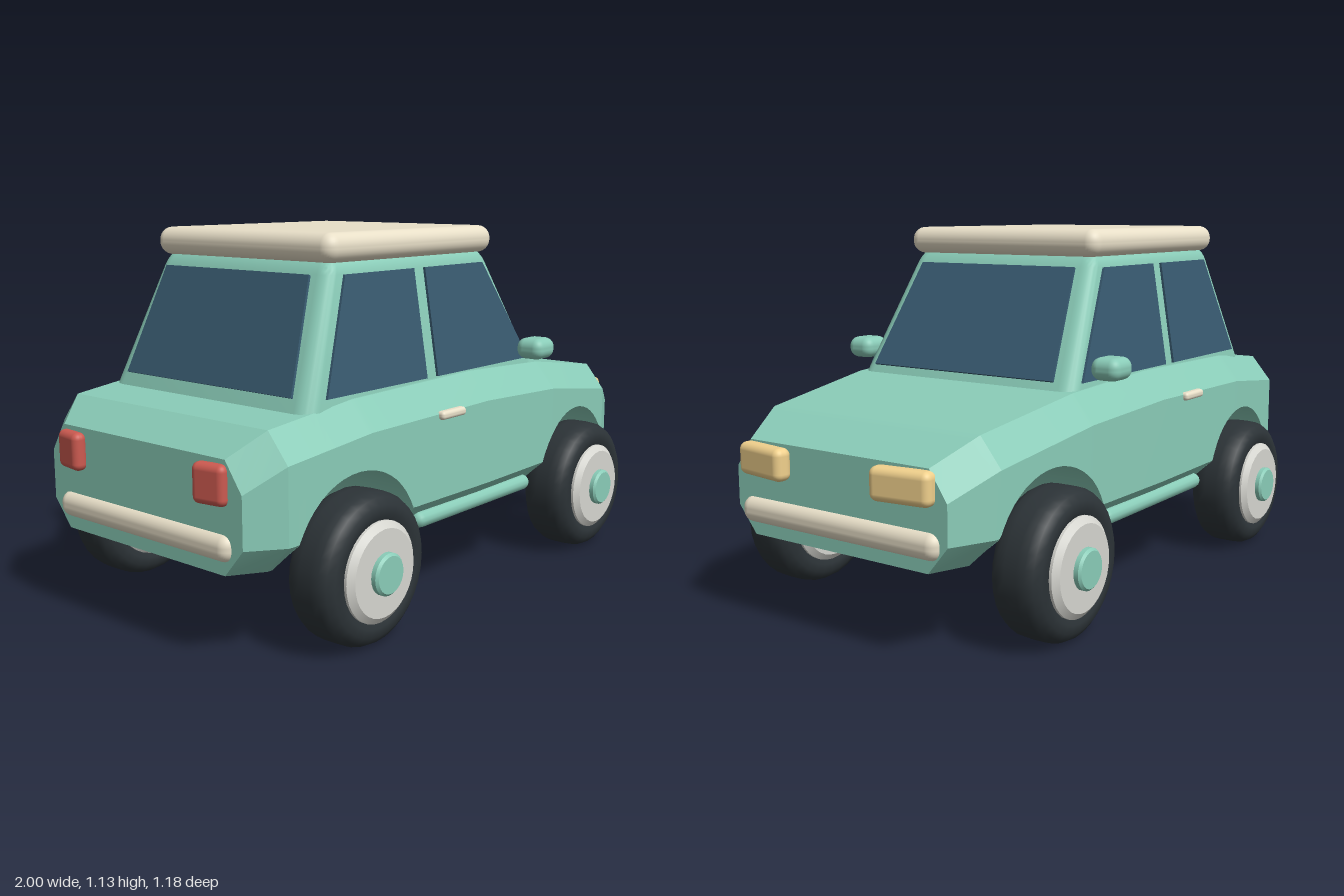
import * as THREE from 'three';
import { toCreasedNormals } from 'three/addons/utils/BufferGeometryUtils.js';
import { RoundedBoxGeometry } from 'three/addons/geometries/RoundedBoxGeometry.js';
import { ConvexGeometry } from 'three/addons/geometries/ConvexGeometry.js';

const paint = (color) => new THREE.MeshStandardMaterial({ color });
const teal = paint(0x8accb8), cream = paint(0xe8dfc8), glass = paint(0x385a70);
const rubber = paint(0x2c3337), rimGrey = paint(0xd6d6d0), amber = paint(0xf0d08c), red = paint(0xcc5a50);

const AXLES = [-0.6, 0.575];
const FLOOR = 0.255, ARCH_Y = 0.235, ARCH_R = 0.252;

// Piecewise linear lookup in a list of [x, value]
function lookup(table, x) {
  let i = 0;
  while (i < table.length - 2 && x > table[i + 1][0]) i++;
  const [[x0, v0], [x1, v1]] = [table[i], table[i + 1]];
  return THREE.MathUtils.lerp(v0, v1, (x - x0) / (x1 - x0));
}

const deckLine = [[-0.965, 0.567], [-0.87, 0.636], [-0.55, 0.672], [0.0, 0.682], [0.4, 0.663], [0.8, 0.604], [0.943, 0.535]];
const halfWidth = [[-0.965, 0.4], [-0.87, 0.472], [-0.55, 0.485], [0.0, 0.493], [0.4, 0.485], [0.8, 0.455], [0.943, 0.39]];

// Lower body: eight-point sections along x, floor raised over the axles
function bodyGeometry() {
  const xs = deckLine.map((p) => p[0]).filter((x) => AXLES.every((a) => Math.abs(x - a) > 0.04));
  const reach = Math.sqrt(ARCH_R ** 2 - (FLOOR - ARCH_Y) ** 2);
  for (const a of AXLES) {
    for (let i = 0; i <= 24; i++) xs.push(a - reach * Math.cos((i / 24) * Math.PI));
  }
  xs.sort((a, b) => a - b);

  const pos = [], index = [];
  for (const x of xs) {
    let floor = FLOOR;
    for (const a of AXLES) {
      const d = ARCH_R ** 2 - (x - a) ** 2;
      if (d > 0) floor = Math.max(floor, ARCH_Y + Math.sqrt(d));
    }
    const top = lookup(deckLine, x), w = lookup(halfWidth, x);
    const tuck = 0.83 + 0.17 * Math.min(1, (floor - FLOOR) / 0.08);
    const side = [[w * tuck, floor], [w, Math.max(0.335, floor + 0.003)], [w, top - 0.085], [w * 0.85, top]];
    for (const [z, y] of side) pos.push(x, y, z);
    for (const [z, y] of side.reverse()) pos.push(x, y, -z);
  }
  for (let s = 0; s < xs.length - 1; s++) {
    for (let i = 0; i < 8; i++) {
      const a = s * 8 + i, b = s * 8 + ((i + 1) % 8);
      index.push(a, a + 8, b + 8, a, b + 8, b);
    }
  }
  const last = (xs.length - 1) * 8;
  for (let k = 1; k < 7; k++) index.push(0, k, k + 1, last, last + k + 1, last + k);

  const geo = new THREE.BufferGeometry();
  geo.setAttribute('position', new THREE.Float32BufferAttribute(pos, 3));
  geo.setIndex(index);
  return toCreasedNormals(geo, 0.35);
}

// Cabin: rounded box tapered towards the roof
function cabinGeometry() {
  const geo = new RoundedBoxGeometry(1.13, 0.46, 0.82, 4, 0.05);
  const p = geo.attributes.position;
  const { lerp } = THREE.MathUtils;
  for (let i = 0; i < p.count; i++) {
    const y = p.getY(i) + 0.83, t = (y - 0.66) / 0.38;
    p.setXYZ(i, p.getX(i) * lerp(1, 0.66, t) + lerp(-0.165, -0.1925, t), y, p.getZ(i) * lerp(1, 0.841, t));
  }
  return toCreasedNormals(geo, 0.6);
}

// Thin pane spanning four corners
function paneGeometry(corners) {
  const c = corners.map((p) => new THREE.Vector3(...p));
  const n = c[1].clone().sub(c[0]).cross(c[2].clone().sub(c[0])).setLength(0.004);
  return new ConvexGeometry([...c.map((v) => v.clone().add(n)), ...c.map((v) => v.clone().sub(n))]);
}

function latheAlongZ(points, segments) {
  return new THREE.LatheGeometry(points.map(([r, h]) => new THREE.Vector2(r, h)), segments).rotateX(Math.PI / 2);
}

function makeWheel() {
  const wheel = new THREE.Group();
  wheel.name = 'wheel';
  const half = [[0.135, 0.07], [0.16, 0.083], [0.185, 0.08], [0.205, 0.066], [0.216, 0.045], [0.218, 0.02]];
  const tyreProfile = [...half.map(([r, h]) => [r, -h]), ...half.slice().reverse()];
  const tyre = new THREE.Mesh(latheAlongZ(tyreProfile, 32), rubber);
  tyre.name = 'tyre';
  const rimProfile = [[0, -0.098], [0.125, -0.098], [0.144, -0.083], [0.144, 0.083], [0.125, 0.098], [0, 0.098]];
  const rim = new THREE.Mesh(toCreasedNormals(latheAlongZ(rimProfile, 32), 0.4), rimGrey);
  rim.name = 'rim';
  const capProfile = [[0, 0.09], [0.06, 0.09], [0.06, 0.112], [0.053, 0.119], [0, 0.119]];
  const cap = new THREE.Mesh(toCreasedNormals(latheAlongZ(capProfile, 24), 0.4), teal);
  cap.name = 'hubCap';
  wheel.add(tyre, rim, cap);
  return wheel;
}

export function createModel() {
  const car = new THREE.Group();
  car.name = 'car';

  const add = (name, geo, mat, x = 0, y = 0, z = 0) => {
    const mesh = new THREE.Mesh(geo, mat);
    mesh.name = name;
    mesh.position.set(x, y, z);
    car.add(mesh);
    return mesh;
  };
  const rounded = (w, h, d, r) => new RoundedBoxGeometry(w, h, d, 4, r);

  // Shell
  add('body', bodyGeometry(), teal);
  add('cabin', cabinGeometry(), teal);
  add('roof', rounded(0.79, 0.085, 0.73, 0.04), cream, -0.19, 1.083, 0);

  // Front and rear glass
  const endPane = (xLow, xHigh) => paneGeometry([
    [xLow, 0.69, 0.345], [xLow, 0.69, -0.345], [xHigh, 1.01, -0.297], [xHigh, 1.01, 0.297]]);
  add('windscreen', endPane(0.4, 0.212), glass);
  add('rearWindow', endPane(-0.722, -0.595), glass);

  // Bumpers
  add('frontBumper', rounded(0.07, 0.078, 0.73, 0.034), cream, 0.932, 0.329, 0);
  add('rearBumper', rounded(0.07, 0.078, 0.72, 0.034), cream, -0.952, 0.329, 0);

  // Parts repeated on both sides
  for (const s of [1, -1]) {
    const sidePane = (x0, x1, x2, x3) => paneGeometry([
      [x0, 0.685, s * 0.411], [x1, 0.685, s * 0.411], [x2, 1.01, s * 0.357], [x3, 1.01, s * 0.357]]);
    add('rearSideWindow', sidePane(-0.655, -0.21, -0.21, -0.52), glass);
    add('frontSideWindow', sidePane(-0.157, 0.345, 0.145, -0.157), glass);

    add('headlight', rounded(0.055, 0.095, 0.19, 0.022), amber, 0.96, 0.483, s * 0.257).rotation.y = s * -0.13;
    add('tailLight', rounded(0.045, 0.112, 0.108, 0.02), red, -0.972, 0.498, s * 0.295).rotation.y = s * 0.15;
    add('mirror', rounded(0.107, 0.068, 0.097, 0.03), teal, 0.292, 0.728, s * 0.477);
    add('doorHandle', rounded(0.118, 0.026, 0.03, 0.011), cream, -0.193, 0.588, s * 0.492);
    add('sillBar', new THREE.CapsuleGeometry(0.025, 0.56, 6, 12).rotateZ(Math.PI / 2), teal, -0.012, 0.276, s * 0.45);

    for (const x of AXLES) {
      const wheel = makeWheel();
      wheel.position.set(x, 0.218, s * 0.4725);
      if (s < 0) wheel.rotation.y = Math.PI;
      car.add(wheel);
    }
  }
  return car;
}
